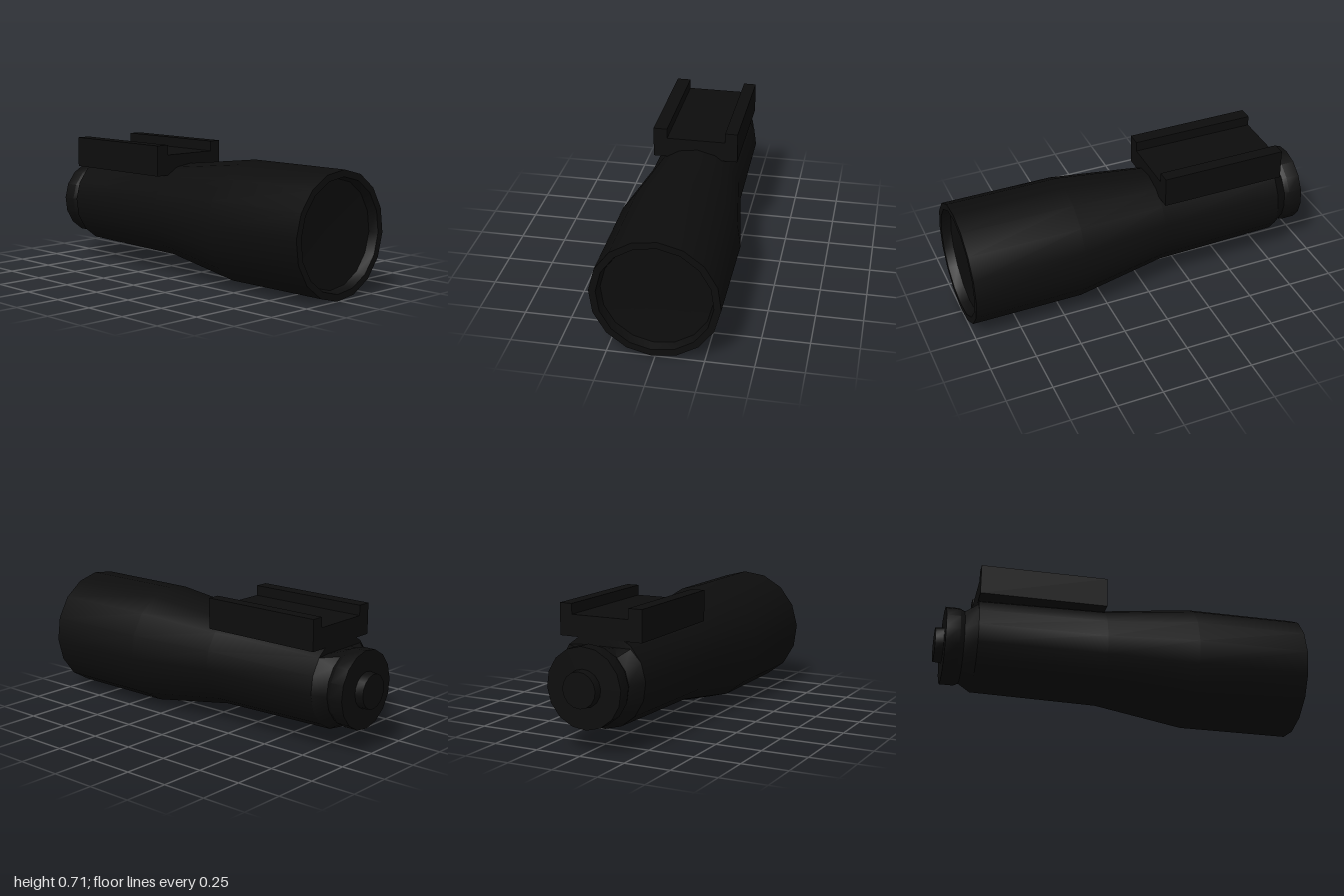
import * as THREE from 'three';
import { toCreasedNormals } from 'three/addons/utils/BufferGeometryUtils.js';

const CENTRE_Y = 0.333;

// Sixteen-sided turned part along z; profile is [radius, z] from back to front
function turned(profile) {
  const points = profile.map(([r, z]) => new THREE.Vector2(r, z));
  const geo = new THREE.LatheGeometry(points, 16);
  geo.rotateX(Math.PI / 2);
  geo.rotateZ(THREE.MathUtils.degToRad(-3.5));
  geo.translate(0, CENTRE_Y, 0);
  return geo;
}

export function createModel() {
  const model = new THREE.Group();
  const black = new THREE.MeshStandardMaterial({ color: 0x0d0d0d });
  black.name = 'matte black';

  function add(name, geo) {
    const mesh = new THREE.Mesh(geo, black);
    mesh.name = name;
    model.add(mesh);
  }
  const crease = (geo) => toCreasedNormals(geo, THREE.MathUtils.degToRad(30));

  // Main housing: rear chamfer, slim grip, flared head and recessed front
  const housing = turned([
    [0.195, -0.86], [0.25, -0.79], [0.25, -0.789], [0.262, -0.1],
    [0.331, 0.39], [0.331, 1], [0.295, 1], [0.283, 0.95],
  ]);
  const pos = housing.attributes.position;
  for (let i = 0; i < pos.count; i++) {
    const z = pos.getZ(i);
    // The slim rear half sits slightly off the head's axis
    if (z < 0 && z > -0.85) {
      pos.setX(i, pos.getX(i) - 0.006);
      pos.setY(i, pos.getY(i) + 0.01);
    }
    // Flat cut under the back of the rail
    if (z < -0.7895 && z > -0.85) pos.setY(i, Math.min(pos.getY(i), 0.515));
  }
  add('housing', crease(housing));

  // Shallow dished lens inside the front rim
  add('lens', crease(turned([[0.284, 0.95], [0, 0.93]])));

  // Rear cap and its push button
  add('rearCap', crease(turned([
    [0, -0.955], [0.21, -0.955], [0.21, -0.88], [0.198, -0.855], [0.18, -0.79],
  ])));
  add('rearButton', crease(turned([[0, -1], [0.093, -1], [0.098, -0.95]])));

  // Mounting rail: floor plate with a raised lip on each side
  function box(name, x0, x1, y0, y1) {
    const geo = new THREE.BoxGeometry(x1 - x0, y1 - y0, 0.69);
    geo.translate((x0 + x1) / 2, (y0 + y1) / 2, -0.445);
    add(name, geo);
  }
  box('railFloor', -0.16, 0.163, 0.55, 0.662);
  box('railLipRight', -0.236, -0.16, 0.55, 0.717);
  box('railLipLeft', 0.163, 0.232, 0.55, 0.717);

  return model;
}
